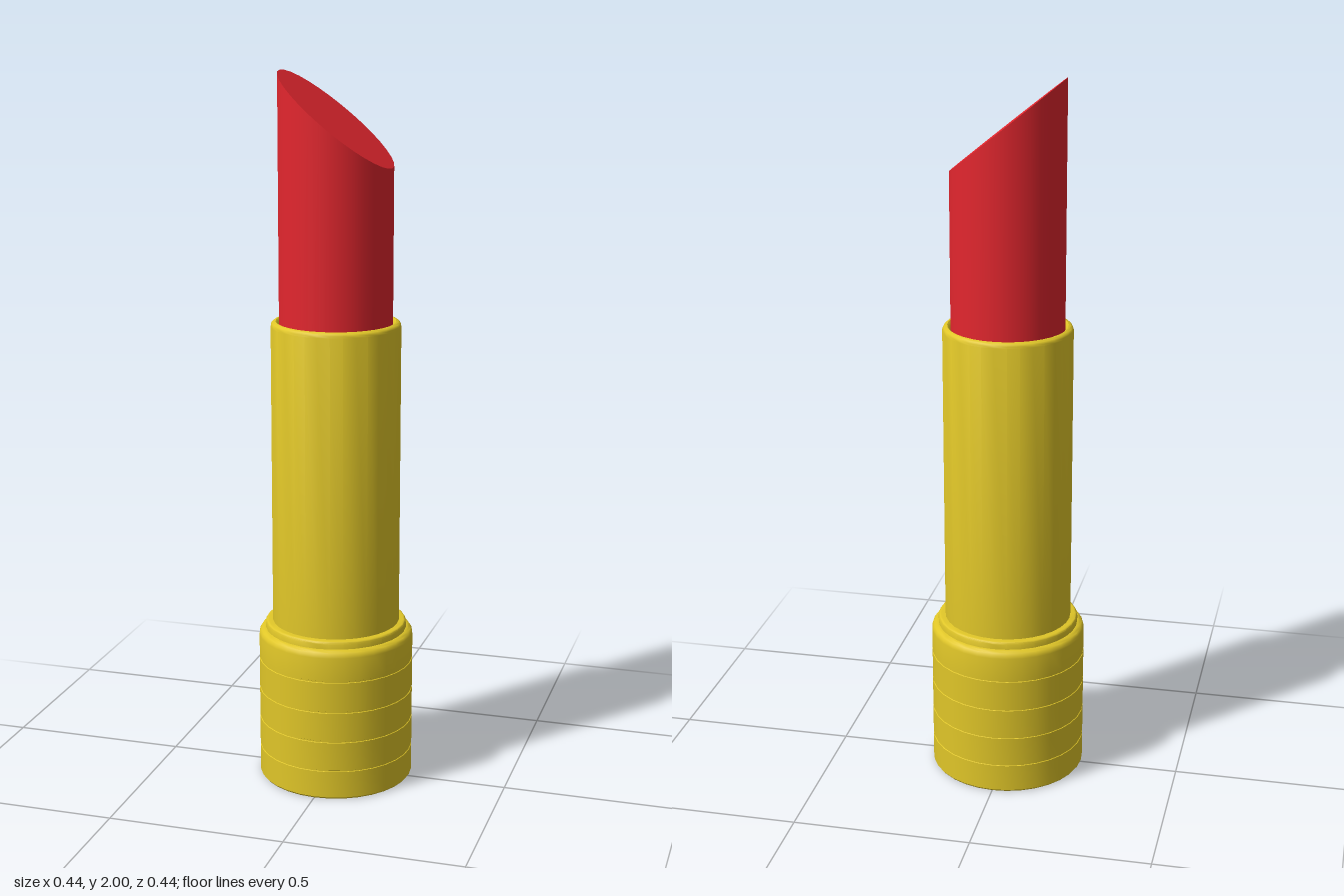
import * as THREE from 'three';
import { toCreasedNormals } from 'three/addons/utils/BufferGeometryUtils.js';

const SEGMENTS = 32;
const gold = new THREE.MeshStandardMaterial({ color: 0xe0c628 });
const red = new THREE.MeshStandardMaterial({ color: 0xe3262e });

// Turned part from [radius, height] pairs, with sharp edges kept
function turned(name, profile) {
  const points = profile.map(([r, y]) => new THREE.Vector2(r, y));
  const geometry = toCreasedNormals(new THREE.LatheGeometry(points, SEGMENTS), 0.6);
  const mesh = new THREE.Mesh(geometry, gold);
  mesh.name = name;
  return mesh;
}

// Quarter-round outer edge ending at height top
function roundedEdge(radius, top, bevel, steps = 4) {
  return Array.from({ length: steps + 1 }, (_, i) => {
    const a = (i / steps) * Math.PI / 2;
    return [radius - bevel + bevel * Math.cos(a), top - bevel + bevel * Math.sin(a)];
  });
}

// Slanted stick: a cylinder whose top ring is sheared down towards +x
function createStick() {
  const radius = 0.157, bottom = 1.0, mid = 1.873, rise = 0.127;
  const geometry = new THREE.CylinderGeometry(radius, radius, 1, SEGMENTS);
  const position = geometry.attributes.position;
  const normal = geometry.attributes.normal;
  const slant = new THREE.Vector3(rise / radius, 1, 0).normalize();
  for (let i = 0; i < position.count; i++) {
    const isTop = position.getY(i) > 0;
    position.setY(i, isTop ? mid - rise * position.getX(i) / radius : bottom);
    if (normal.getY(i) > 0.5) normal.setXYZ(i, slant.x, slant.y, slant.z);
  }
  const mesh = new THREE.Mesh(geometry, red);
  mesh.name = 'lipstick';
  return mesh;
}

export function createModel() {
  const group = new THREE.Group();
  group.name = 'lipstickTube';

  // Base with fine grooves around it
  const baseProfile = [[0, 0], [0.215, 0], [0.219, 0.005]];
  for (const y of [0.085, 0.172, 0.26, 0.35]) {
    baseProfile.push([0.219, y - 0.003], [0.217, y - 0.002], [0.217, y + 0.002], [0.219, y + 0.003]);
  }
  baseProfile.push(...roundedEdge(0.219, 0.44, 0.02), [0.17, 0.44]);
  group.add(turned('base', baseProfile));

  // Step between the base and the sleeve
  group.add(turned('stepRing', [[0.17, 0.43], [0.2, 0.43], ...roundedEdge(0.2, 0.462, 0.008), [0.17, 0.462]]));

  // Sleeve with a rounded lip closing on the stick
  group.add(turned('sleeve', [[0.18, 0.44], ...roundedEdge(0.18, 1.325, 0.014), [0.162, 1.322], [0.157, 1.312]]));

  group.add(createStick());
  return group;
}
